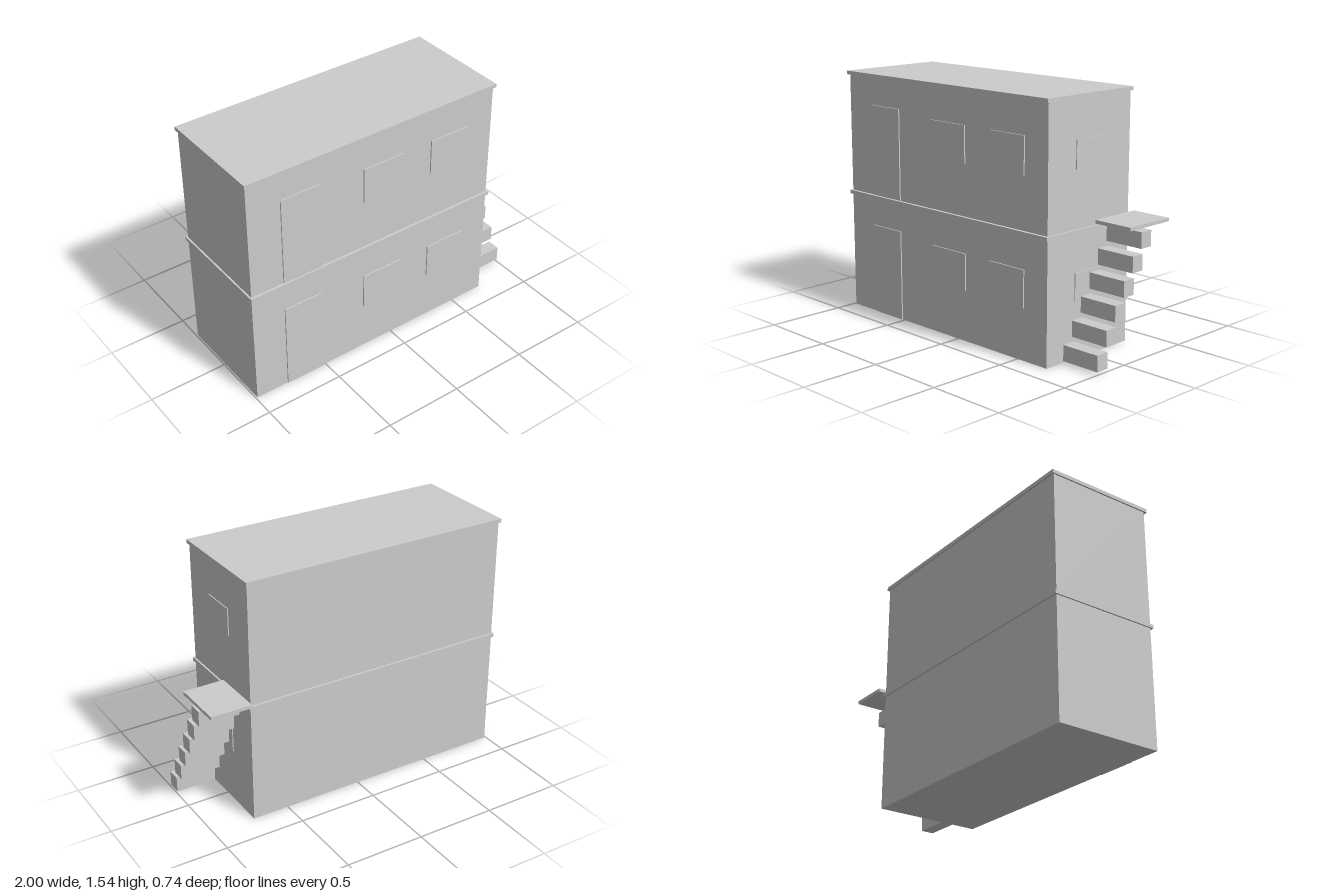
import * as THREE from 'three';

const concrete = new THREE.MeshStandardMaterial({ color: 0xcccccc });
concrete.name = 'concreteGrey';

// Box given by its min/max extents on each axis
function block(name, [x0, x1], [y0, y1], [z0, z1]) {
  const mesh = new THREE.Mesh(new THREE.BoxGeometry(x1 - x0, y1 - y0, z1 - z0), concrete);
  mesh.position.set((x0 + x1) / 2, (y0 + y1) / 2, (z0 + z1) / 2);
  mesh.name = name;
  return mesh;
}

// One floor: walls, roof slab, door and windows
function createStorey(name) {
  const storey = new THREE.Group();
  storey.name = name;
  const front = [0.357, 0.365];
  storey.add(
    block('walls', [-0.99, 0.73], [0, 0.745], [-0.329, 0.357]),
    block('roofSlab', [-1, 0.74], [0.745, 0.768], [-0.342, 0.373]),
    block('door', [-0.775, -0.517], [0.002, 0.573], front),
    block('frontWindowRight', [-0.214, 0.07], [0.317, 0.544], front),
    block('frontWindowLeft', [0.271, 0.552], [0.317, 0.544], front),
    block('sideWindow', [0.73, 0.736], [0.346, 0.515], [-0.099, 0.13])
  );
  return storey;
}

export function createModel() {
  const house = new THREE.Group();
  house.name = 'house';

  const lower = createStorey('lowerStorey');
  const upper = createStorey('upperStorey');
  upper.position.y = 0.769;
  house.add(lower, upper);

  // Floating outside staircase, climbing towards the back
  const stairs = new THREE.Group();
  stairs.name = 'staircase';
  const stairX = [0.742, 1];
  for (let i = 0; i < 6; i++) {
    const y = 0.017 + i * 0.1285;
    const z = 0.146 - i * 0.0718;
    stairs.add(block(`step${i + 1}`, stairX, [y, y + 0.097], [z, z + 0.085]));
  }
  stairs.add(block('landing', stairX, [0.779, 0.8], [-0.371, -0.029]));
  house.add(stairs);

  return house;
}
